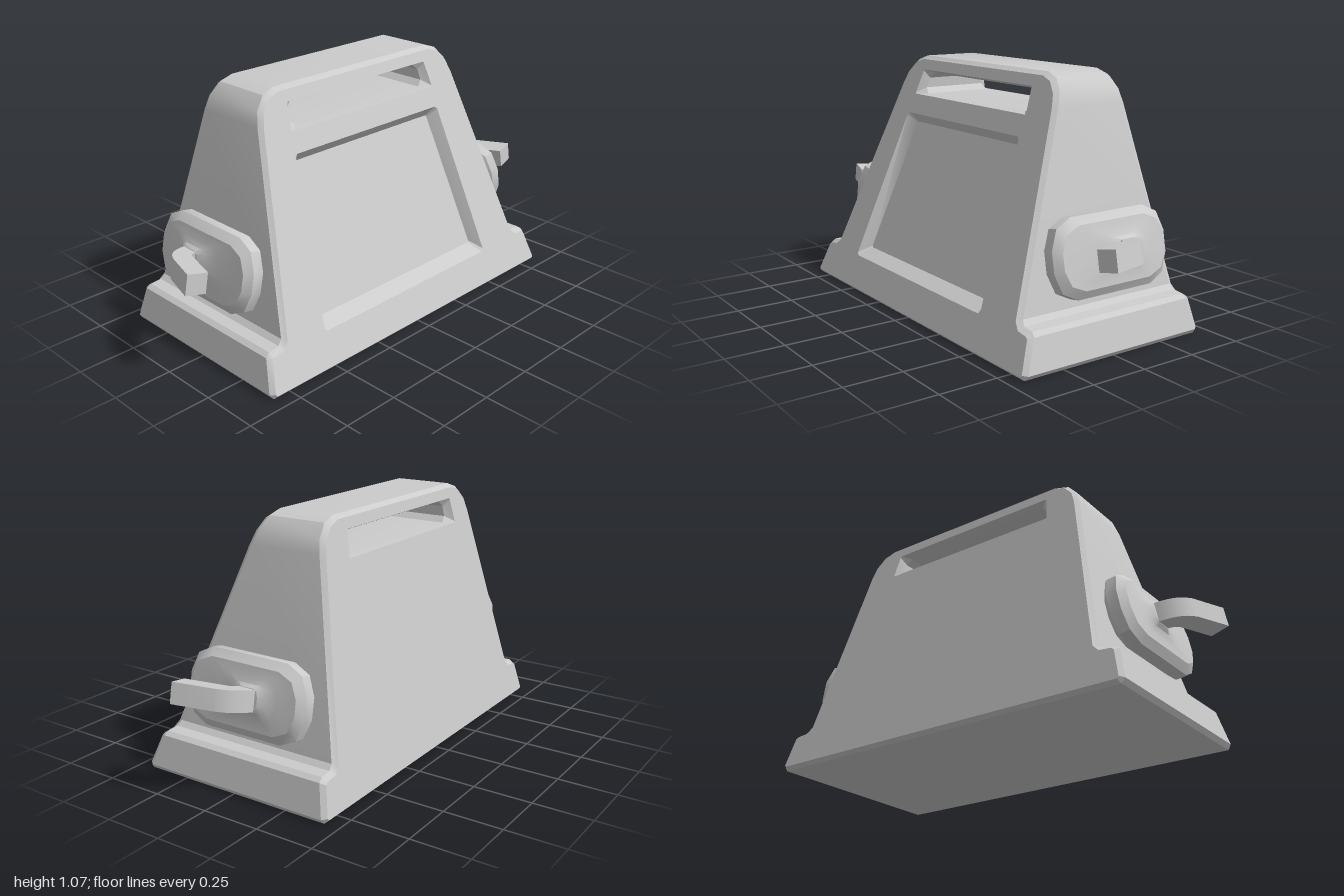
import * as THREE from 'three';
import { toCreasedNormals } from 'three/addons/utils/BufferGeometryUtils.js';

const grey = new THREE.MeshStandardMaterial({ color: 0xcccccc });

// Sloping front and back faces of the housing
const zFront = (y) => 0.455 - 0.369 * y;
const zBack = (y) => -0.453 + 0.207 * y;

// Joins successive rings of [x, y, z] points with quads
function loft(out, rings) {
  for (let i = 0; i + 1 < rings.length; i++) {
    const a = rings[i], b = rings[i + 1];
    a.forEach((p, j) => {
      const k = (j + 1) % a.length;
      out.push(...p, ...a[k], ...b[k], ...p, ...b[k], ...b[j]);
    });
  }
}

// Fills a ring, leaving holes open; facing +z unless flipped
function cap(out, ring, holes = [], flip = false) {
  const to2 = (r) => r.map((p) => new THREE.Vector2(p[0], p[1]));
  const all = [ring, ...holes].flat();
  for (const f of THREE.ShapeUtils.triangulateShape(to2(ring), holes.map(to2))) {
    const [a, b, c] = flip ? [f[0], f[2], f[1]] : f;
    out.push(...all[a], ...all[b], ...all[c]);
  }
}

function makeMesh(name, positions, crease) {
  const g = new THREE.BufferGeometry();
  g.setAttribute('position', new THREE.Float32BufferAttribute(positions, 3));
  g.computeVertexNormals();
  const mesh = new THREE.Mesh(toCreasedNormals(g, crease), grey);
  mesh.name = name;
  return mesh;
}

// Moves a counter-clockwise outline inwards by t
function inset(pts, t) {
  const n = pts.length;
  const normal = (a, b) => {
    const dx = b[0] - a[0], dy = b[1] - a[1], l = Math.hypot(dx, dy);
    return [-dy / l, dx / l];
  };
  return pts.map((p, i) => {
    const u = normal(pts[(i + n - 1) % n], p), v = normal(p, pts[(i + 1) % n]);
    const s = t / (1 + u[0] * v[0] + u[1] * v[1]);
    return [p[0] + (u[0] + v[0]) * s, p[1] + (u[1] + v[1]) * s];
  });
}

// Trapezium with cut corners, counter-clockwise
function trapezium(cx, bottom, top, y0, y1, cut) {
  const half = [[bottom - cut, y0], [bottom, y0 + cut], [top, y1 - cut], [top - cut, y1]];
  return [...half, ...half.map(([x, y]) => [-x, y]).reverse()].map(([x, y]) => [x + cx, y]);
}

const place = (pts, zAt) => pts.map(([x, y]) => [x, y, zAt(y)]);

function housing() {
  const half = [[0.83, 0], [0.845, 0.02], [0.815, 0.15], [0.795, 0.165], [0.745, 0.17],
    [0.725, 0.19], [0.575, 0.94], [0.555, 1.0], [0.51, 1.05], [0.45, 1.07]];
  const outline = [...half, ...half.map(([x, y]) => [-x, y]).reverse()];
  const face = inset(outline, 0.015);
  const bevel = 0.02;
  const frontRing = place(face, zFront), backRing = place(face, zBack);
  const out = [];

  // Outer walls with chamfered front and back edges
  loft(out, [backRing, place(outline, (y) => zBack(y) + bevel),
    place(outline, (y) => zFront(y) - bevel), frontRing]);

  // Handle slot, slightly narrower inside than at its mouths
  const mouth = trapezium(-0.008, 0.422, 0.408, 0.9, 1.01, 0.005);
  const throat = trapezium(-0.008, 0.395, 0.392, 0.903, 0.997, 0.025);
  const slotFront = place(mouth, zFront), slotBack = place(mouth, zBack);
  loft(out, [slotFront, place(throat, (y) => zFront(y) - 0.035),
    place(throat, (y) => zBack(y) + 0.035), slotBack]);

  // Recessed front panel
  const recess = place(trapezium(-0.015, 0.508, 0.43, 0.15, 0.815, 0.012), zFront);
  const floor = place(trapezium(-0.015, 0.475, 0.398, 0.185, 0.772, 0.006), (y) => zFront(y) - 0.05);
  loft(out, [recess, floor]);
  cap(out, floor);

  cap(out, frontRing, [slotFront, recess]);
  cap(out, backRing, [slotBack], true);
  return makeMesh('housing', out, 0.5);
}

// Rounded side plate with a raised boss and a bent lever
function sideLatch() {
  const latch = new THREE.Group();
  const ring = (a, b, z, cx = 0) => {
    const q = [[a, b * 0.28], [a * 0.89, b * 0.78], [a * 0.64, b]];
    const h = [...q, ...q.map(([x, y]) => [-x, y]).reverse()];
    return [...h, ...h.map(([x, y]) => [-x, -y])].map(([x, y]) => [x + cx, y, z]);
  };
  const rings = [ring(0.258, 0.132, -0.045), ring(0.285, 0.158, -0.022), ring(0.285, 0.158, 0.025),
    ring(0.255, 0.125, 0.052), ring(0.14, 0.085, 0.055, 0.025), ring(0.08, 0.058, 0.064, 0.04),
    ring(0.05, 0.045, 0.078, 0.045)];
  const out = [];
  loft(out, rings);
  cap(out, rings[0], [], true);
  cap(out, rings[rings.length - 1]);
  const plate = makeMesh('sidePlate', out, 0.5);
  plate.geometry.rotateY(Math.PI / 2);
  latch.add(plate);

  const s = new THREE.Shape();
  s.moveTo(0.045, -0.09);
  s.bezierCurveTo(0.13, -0.075, 0.17, -0.05, 0.2, 0.01);
  s.lineTo(0.255, 0.175);
  s.lineTo(0.17, 0.19);
  s.lineTo(0.115, 0.02);
  s.quadraticCurveTo(0.1, -0.01, 0.045, -0.015);
  const g = new THREE.ExtrudeGeometry(s, { depth: 0.086, bevelEnabled: false, curveSegments: 8 });
  g.translate(0, 0, -0.043);
  g.rotateX(Math.PI / 2);
  const lever = new THREE.Mesh(toCreasedNormals(g, 0.5), grey);
  lever.name = 'lever';
  latch.add(lever);

  latch.position.set(0.745, 0.395, -0.025);
  latch.rotation.z = 0.19;
  return latch;
}

export function createModel() {
  const model = new THREE.Group();
  model.name = 'caseWithSideLatches';
  model.add(housing());
  for (const [name, side] of [['leftLatch', 1], ['rightLatch', -1]]) {
    const g = new THREE.Group();
    g.name = name;
    g.add(sideLatch());
    g.scale.x = side;
    model.add(g);
  }
  return model;
}
